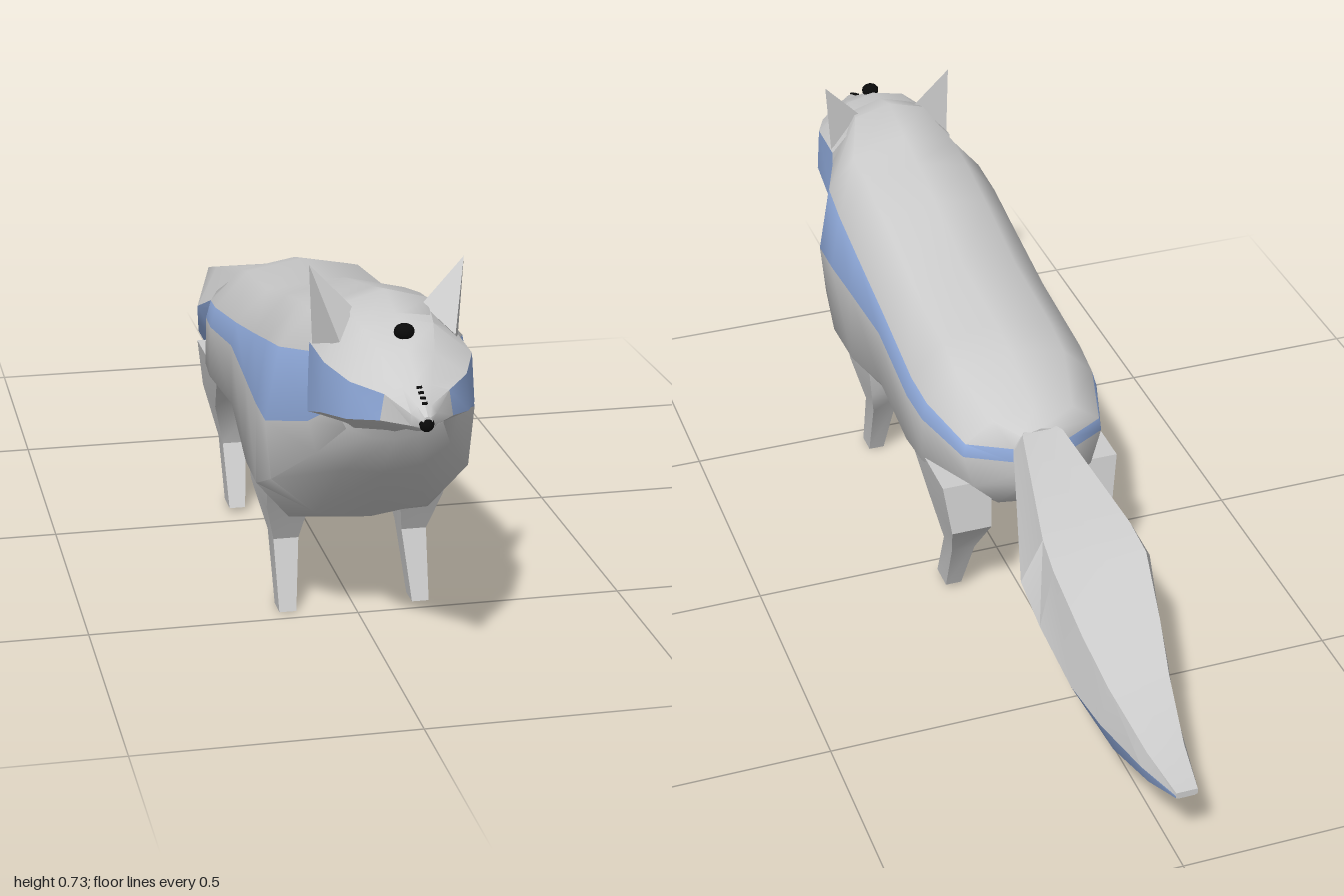
import * as THREE from 'three';
import { toCreasedNormals } from 'three/addons/utils/BufferGeometryUtils.js';
import { ConvexGeometry } from 'three/addons/geometries/ConvexGeometry.js';

const mat = (name, color) => {
  const m = new THREE.MeshStandardMaterial({ color });
  m.name = name;
  return m;
};

// Skin closed rings of [x, y, z]; isBlue(section, band) picks the second material
function loft(rings, crease, isBlue = () => false) {
  const n = rings[0].length, faces = [[], []];
  for (let s = 0; s < rings.length - 1; s++) {
    for (let i = 0; i < n; i++) {
      const j = (i + 1) % n, a = s * n, b = a + n;
      const band = Math.min(i, n - 1 - i);
      faces[isBlue(s, band) ? 1 : 0].push(a + i, a + j, b + j, a + i, b + j, b + i);
    }
  }
  const end = (rings.length - 1) * n;
  for (let i = 1; i < n - 1; i++) {
    faces[0].push(0, i + 1, i, end, end + i, end + i + 1);
  }
  const g = new THREE.BufferGeometry();
  g.setAttribute('position', new THREE.Float32BufferAttribute(rings.flat(2), 3));
  g.setIndex([...faces[0], ...faces[1]]);
  g.addGroup(0, faces[0].length, 0);
  g.addGroup(faces[0].length, faces[1].length, 1);
  return toCreasedNormals(g, crease);
}

// Mirror a half section that runs from top centre to bottom centre
const mirrored = ([z, ...half]) => [
  ...half.map(([x, y]) => [x, y, z]),
  ...half.slice(1, -1).reverse().map(([x, y]) => [-x, y, z]),
];

export function createModel() {
  const grey = mat('greyFur', 0xcccccc);
  const blue = mat('blueFur', 0x93aee0);
  const black = mat('black', 0x0a0a0a);
  const fur = [grey, blue];
  const model = new THREE.Group();
  const add = (name, geometry, material) => {
    const m = new THREE.Mesh(geometry, material);
    m.name = name;
    model.add(m);
    return m;
  };

  // Body with a stripe along each flank
  const body = [
    [0.77, [0, 0.655], [0.06, 0.64], [0.10, 0.56], [0.105, 0.50], [0.085, 0.46], [0.04, 0.44], [0, 0.435]],
    [0.69, [0, 0.68], [0.075, 0.66], [0.125, 0.575], [0.135, 0.45], [0.12, 0.39], [0.07, 0.355], [0, 0.345]],
    [0.59, [0, 0.655], [0.11, 0.62], [0.165, 0.555], [0.19, 0.42], [0.18, 0.31], [0.10, 0.24], [0, 0.225]],
    [0.50, [0, 0.635], [0.11, 0.61], [0.17, 0.54], [0.19, 0.422], [0.19, 0.27], [0.13, 0.20], [0, 0.195]],
    [0.38, [0, 0.61], [0.11, 0.585], [0.17, 0.515], [0.187, 0.43], [0.187, 0.27], [0.13, 0.20], [0, 0.19]],
    [0.20, [0, 0.555], [0.11, 0.54], [0.17, 0.48], [0.18, 0.435], [0.18, 0.32], [0.12, 0.235], [0, 0.22]],
    [0.00, [0, 0.54], [0.11, 0.52], [0.175, 0.45], [0.185, 0.41], [0.188, 0.31], [0.12, 0.235], [0, 0.22]],
    [-0.08, [0, 0.52], [0.11, 0.50], [0.17, 0.44], [0.18, 0.405], [0.182, 0.31], [0.11, 0.235], [0, 0.22]],
    [-0.21, [0, 0.475], [0.08, 0.46], [0.135, 0.42], [0.14, 0.392], [0.12, 0.32], [0.07, 0.27], [0, 0.26]],
    [-0.255, [0, 0.455], [0.04, 0.445], [0.055, 0.42], [0.055, 0.39], [0.05, 0.36], [0.03, 0.335], [0, 0.33]],
  ];
  add('body', loft(body.map(mirrored), 0.9, (s, band) => band === 2), fur);

  // Head tapering to the muzzle, with coloured cheeks
  const head = [
    [0.68, [0, 0.66], [0.08, 0.645], [0.13, 0.59], [0.135, 0.465], [0.08, 0.42], [0, 0.40]],
    [0.79, [0, 0.657], [0.06, 0.645], [0.128, 0.588], [0.134, 0.50], [0.07, 0.47], [0, 0.46]],
    [0.86, [0, 0.625], [0.045, 0.615], [0.10, 0.575], [0.105, 0.51], [0.05, 0.49], [0, 0.485]],
    [0.92, [0, 0.588], [0.025, 0.58], [0.055, 0.57], [0.062, 0.525], [0.03, 0.51], [0, 0.505]],
    [0.97, [0, 0.568], [0.012, 0.563], [0.022, 0.55], [0.022, 0.53], [0.01, 0.52], [0, 0.52]],
    [0.995, [0, 0.553], [0.005, 0.551], [0.008, 0.545], [0.008, 0.535], [0.004, 0.53], [0, 0.53]],
  ];
  add('head', loft(head.reverse().map(mirrored), 0.6, (s, band) => s > 1 && band === 2), fur);

  // Nose, forehead mark and small dashes along the muzzle
  const blob = (name, y, z, sx, sy, sz) => {
    const m = add(name, new THREE.SphereGeometry(1, 12, 8), black);
    m.position.set(0, y, z);
    m.scale.set(sx, sy, sz);
  };
  blob('nose', 0.538, 0.986, 0.013, 0.014, 0.014);
  blob('foreheadMark', 0.646, 0.828, 0.018, 0.014, 0.016);
  for (let i = 0; i < 4; i++) {
    const dash = add('muzzleDash', new THREE.BoxGeometry(0.009, 0.003, 0.004), black);
    dash.position.set(0, 0.583 - i * 0.005, 0.935 + i * 0.0125);
    dash.rotation.x = 0.4;
  }

  // Tail: flat top, sloping shoulders, coloured sides; [z, top, w, mid, w, low, w, bottom, w]
  const tail = [
    [-0.22, 0.45, 0.02, 0.42, 0.045, 0.37, 0.04, 0.34, 0.02],
    [-0.265, 0.45, 0.04, 0.415, 0.058, 0.35, 0.05, 0.315, 0.02],
    [-0.50, 0.385, 0.085, 0.30, 0.127, 0.215, 0.085, 0.18, 0.04],
    [-0.57, 0.365, 0.09, 0.245, 0.115, 0.165, 0.075, 0.142, 0.04],
    [-0.68, 0.295, 0.075, 0.185, 0.095, 0.12, 0.06, 0.11, 0.04],
    [-0.77, 0.24, 0.058, 0.16, 0.072, 0.095, 0.045, 0.09, 0.035],
    [-0.90, 0.19, 0.035, 0.16, 0.045, 0.122, 0.03, 0.118, 0.02],
    [-1.00, 0.175, 0.02, 0.17, 0.021, 0.164, 0.02, 0.162, 0.015],
  ].map(([z, y0, w0, y1, w1, y2, w2, y3, w3]) =>
    mirrored([z, [0, y0], [w0, y0], [w1, y1], [w2, y2], [w3, y3], [0, y3]]));
  add('tail', loft(tail, 0.4, (s, band) => band === 2), fur);

  // Legs: [y, inner x, outer x, back z, front z] from thigh to foot
  const frontLeg = [
    [0.30, 0.08, 0.172, 0.31, 0.52], [0.21, 0.085, 0.165, 0.315, 0.47],
    [0.13, 0.098, 0.145, 0.375, 0.43], [0, 0.11, 0.142, 0.425, 0.47],
  ];
  const hindLeg = [
    [0.32, 0.08, 0.178, -0.20, 0.03], [0.22, 0.085, 0.165, -0.215, -0.07],
    [0.13, 0.098, 0.145, -0.15, -0.10], [0.01, 0.11, 0.142, -0.10, -0.045],
  ];
  const earPoints = [
    [0.135, 0.733, 0.70], [0.06, 0.655, 0.71], [0.128, 0.585, 0.695], [0.10, 0.62, 0.785],
  ];
  for (const side of [1, -1]) {
    const label = side > 0 ? 'left' : 'right';
    for (const [name, rows] of [['FrontLeg', frontLeg], ['HindLeg', hindLeg]]) {
      const rings = rows.map(([y, xi, xo, z0, z1]) => {
        const [x0, x1] = side > 0 ? [xi, xo] : [-xo, -xi];
        return [[x0, y, z0], [x1, y, z0], [x1, y, z1], [x0, y, z1]];
      });
      add(label + name, loft(rings, 0.6), fur);
    }
    // Pointed ears
    const ear = new ConvexGeometry(earPoints.map(([x, y, z]) => new THREE.Vector3(side * x, y, z)));
    add(label + 'Ear', ear, grey);
  }
  return model;
}
